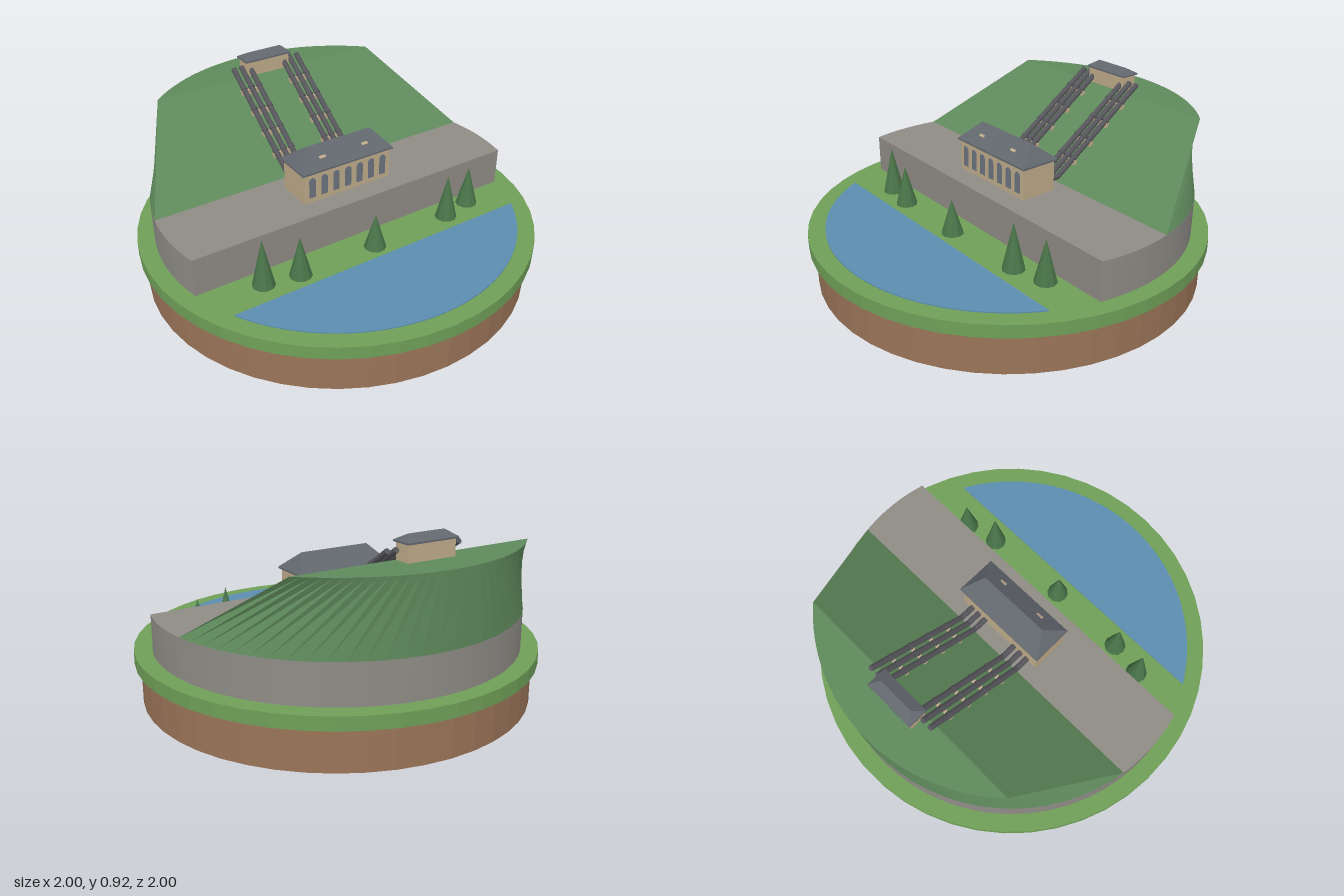
import * as THREE from 'three';
import { ConvexGeometry } from 'three/addons/geometries/ConvexGeometry.js';

const mat = (name, color) => {
  const m = new THREE.MeshStandardMaterial({ color });
  m.name = name;
  return m;
};

export function createModel() {
  const soil = mat('soil', 0x9a7458), grass = mat('grass', 0x6f9f58), water = mat('water', 0x5b8db0),
    rock = mat('rock', 0x8f8c86), hillGreen = mat('hill green', 0x5f8a5c), treeGreen = mat('tree green', 0x4a7549),
    stone = mat('stone', 0xbfac8a), slate = mat('slate', 0x62676e), glass = mat('glass', 0x6b7480),
    steel = mat('steel', 0x55555b);

  const model = new THREE.Group();
  // Everything on the island is aligned to a diagonal shoreline
  const site = new THREE.Group();
  site.name = 'site';
  site.rotation.y = -THREE.MathUtils.degToRad(20);
  model.add(site);

  const add = (parent, name, geometry, material, x = 0, y = 0, z = 0) => {
    const flat = geometry.index ? geometry.toNonIndexed() : geometry;
    flat.computeVertexNormals();
    const mesh = new THREE.Mesh(flat, material);
    mesh.name = name;
    mesh.position.set(x, y, z);
    parent.add(mesh);
    return mesh;
  };

  // Round base
  add(model, 'soilBase', new THREE.CylinderGeometry(0.97, 0.97, 0.2, 48), soil, 0, 0.1);
  add(model, 'grassDisc', new THREE.CylinderGeometry(1, 1, 0.065, 48), grass, 0, 0.2325);

  // Circle segments cut by a straight line at local z
  const R = 0.915;
  const segment = (from, to, depth) => {
    const shape = new THREE.Shape();
    shape.absarc(0, 0, R, from, to, false);
    return new THREE.ExtrudeGeometry(shape, { depth, bevelEnabled: false, curveSegments: 32 }).rotateX(-Math.PI / 2);
  };
  const shore = Math.asin(0.432 / R), cliff = Math.asin(0.218 / R);
  add(site, 'lake', segment(Math.PI + shore, 2 * Math.PI - shore, 0.005), water, 0, 0.265);
  add(site, 'rockTerrace', segment(-cliff, Math.PI + cliff, 0.195), rock, 0, 0.265);

  // Hill lofted between a wide lower arc and a narrow upper arc
  const N = 32;
  const arc = (cut, y) => Array.from({ length: N + 1 }, (_, i) => {
    const start = Math.asin(cut / R);
    const a = start + (Math.PI - 2 * start) * i / N;
    return new THREE.Vector3(R * Math.cos(a), y, -R * Math.sin(a));
  });
  const low = arc(0.16, 0.46), high = arc(0.66, 0.805), corners = [];
  const quad = (a, b, c, d) => corners.push(a, b, c, a, c, d);
  for (let i = 0; i < N; i++) {
    quad(low[i], low[i + 1], high[i + 1], high[i]);
    if (i > 0) corners.push(high[0], high[i], high[i + 1]);
  }
  quad(low[N], low[0], high[0], high[N]);
  add(site, 'hill', new THREE.BufferGeometry().setFromPoints(corners), hillGreen);

  // Hipped roof with a thin eave
  const hipRoof = (w, d, h, ridge) => {
    const points = [];
    for (const s of [-1, 1]) {
      for (const t of [-1, 1]) for (const y of [0, 0.008])
        points.push(new THREE.Vector3(s * w / 2, y, t * d / 2));
      points.push(new THREE.Vector3(s * ridge / 2, h, 0));
    }
    return new ConvexGeometry(points);
  };

  // Powerhouse with arched windows
  const house = new THREE.Group();
  house.name = 'powerhouse';
  house.position.set(0, 0.46, 0.012);
  site.add(house);
  add(house, 'walls', new THREE.BoxGeometry(0.495, 0.16, 0.19), stone, 0, 0.08);
  add(house, 'roof', hipRoof(0.52, 0.212, 0.092, 0.377), slate, 0, 0.158);
  const arch = new THREE.Shape();
  arch.moveTo(-0.017, 0);
  arch.lineTo(0.017, 0);
  arch.lineTo(0.017, 0.09);
  arch.absarc(0, 0.09, 0.017, 0, Math.PI, false);
  const archGeometry = new THREE.ExtrudeGeometry(arch, { depth: 0.004, bevelEnabled: false, curveSegments: 8 });
  for (let i = -3; i <= 3; i++) add(house, 'window', archGeometry, glass, i * 0.068, 0.027, 0.095);
  for (const x of [-0.122, 0.122]) {
    const light = add(house, 'skylight', new THREE.BoxGeometry(0.035, 0.006, 0.014), stone, x, 0.206, 0.056);
    light.rotation.x = Math.atan2(0.084, 0.106);
  }

  // Valve house at the hilltop
  const valve = new THREE.Group();
  valve.name = 'valveHouse';
  valve.position.set(0, 0.805, -0.703);
  site.add(valve);
  add(valve, 'walls', new THREE.BoxGeometry(0.25, 0.08, 0.085), stone, 0, 0.04);
  add(valve, 'roof', hipRoof(0.268, 0.102, 0.037, 0.19), slate, 0, 0.079);

  // Two sets of three pipes with collars and saddles
  const foot = new THREE.Vector3(0, 0.49, -0.16), top = new THREE.Vector3(0, 0.855, -0.69);
  const run = top.clone().sub(foot);
  const tilt = Math.atan2(run.z, run.y);
  for (const side of [-1, 1]) {
    const pipes = new THREE.Group();
    pipes.name = side < 0 ? 'rightPipes' : 'leftPipes';
    site.add(pipes);
    for (const offset of [0.1, 0.145, 0.19]) {
      const x = side * offset;
      const mid = foot.clone().lerp(top, 0.5);
      add(pipes, 'slopePipe', new THREE.CylinderGeometry(0.014, 0.014, run.length(), 10), steel, x, mid.y, mid.z).rotation.x = tilt;
      add(pipes, 'elbow', new THREE.SphereGeometry(0.0145, 10, 8), steel, x, foot.y, foot.z);
      add(pipes, 'inletPipe', new THREE.CylinderGeometry(0.014, 0.014, 0.08, 10), steel, x, foot.y, -0.12).rotation.x = Math.PI / 2;
      for (let i = 1; i <= 4; i++) {
        const p = foot.clone().lerp(top, i / 5);
        add(pipes, 'collar', new THREE.CylinderGeometry(0.017, 0.017, 0.016, 10), steel, x, p.y, p.z).rotation.x = tilt;
      }
    }
    for (let i = 1; i <= 4; i++) {
      const p = foot.clone().lerp(top, i / 5);
      add(pipes, 'saddle', new THREE.BoxGeometry(0.122, 0.028, 0.018), stone, side * 0.145, p.y - 0.022, p.z);
    }
  }

  // Conifers along the shore: x, z, height
  const trees = [[-0.665, 0.09, 0.245], [-0.51, 0.18, 0.21], [-0.12, 0.325, 0.18], [0.31, 0.465, 0.235], [0.485, 0.485, 0.21]];
  for (const [x, z, h] of trees)
    add(model, 'conifer', new THREE.ConeGeometry(0.055, h, 10), treeGreen, x, 0.265 + h / 2, z);

  return model;
}
